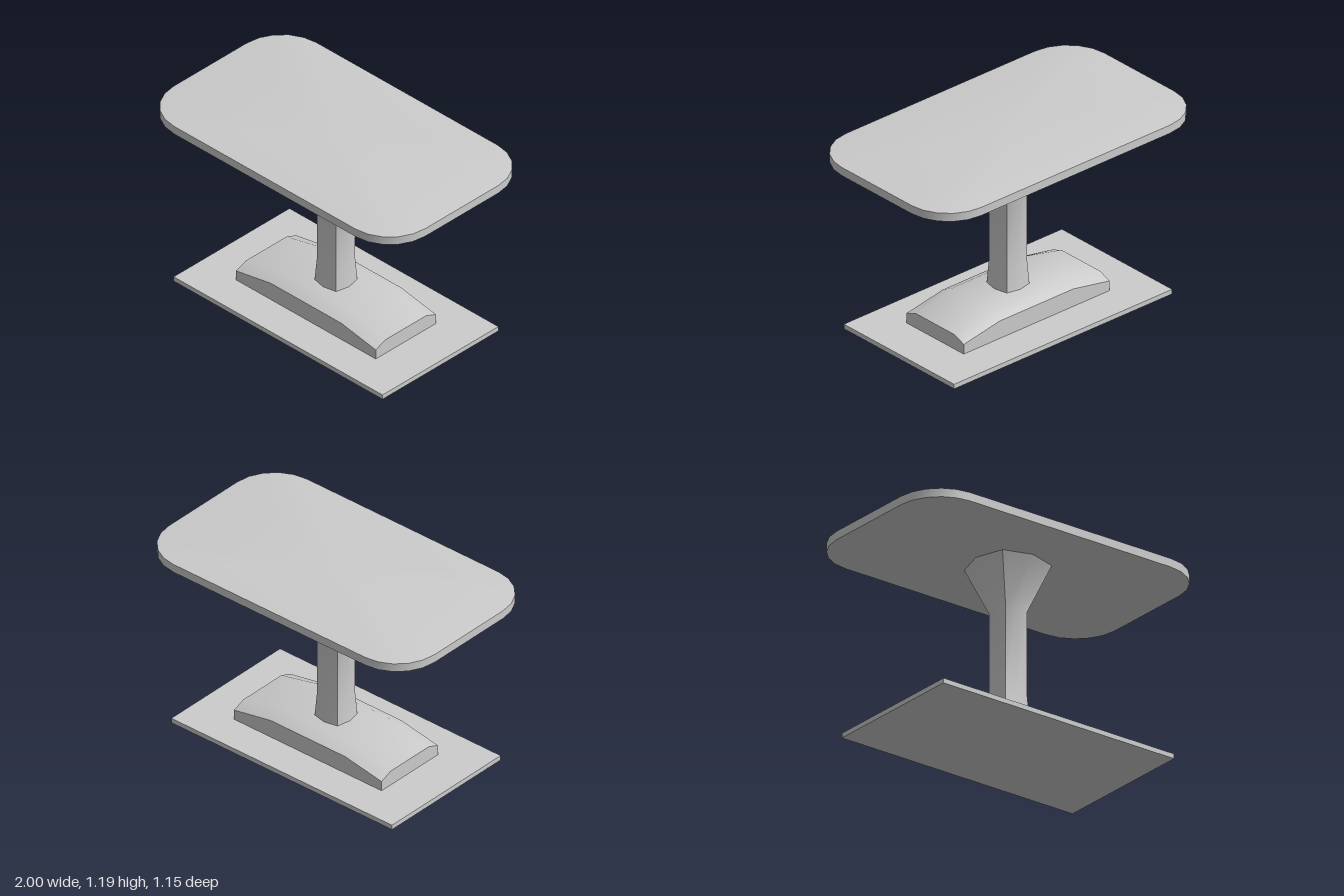
import * as THREE from 'three';
import { toCreasedNormals } from 'three/addons/utils/BufferGeometryUtils.js';

const material = new THREE.MeshStandardMaterial({ color: 0xcccccc });
const CREASE = THREE.MathUtils.degToRad(40);

function addPart(group, name, geometry) {
  const mesh = new THREE.Mesh(toCreasedNormals(geometry, CREASE), material);
  mesh.name = name;
  group.add(mesh);
  return mesh;
}

// Closed solid through stacked rings; each ring is { y, points: [[x, z], ...] }
// with points running from +x towards +z.
function loft(rings) {
  const n = rings[0].points.length;
  const positions = [];
  const index = [];
  for (const { y, points } of rings) for (const [x, z] of points) positions.push(x, y, z);
  for (let r = 0; r < rings.length - 1; r++) {
    for (let i = 0; i < n; i++) {
      const a = r * n + i, b = r * n + (i + 1) % n;
      index.push(a, a + n, b, b, a + n, b + n);
    }
  }
  const bottom = positions.length / 3, top = bottom + 1;
  const last = (rings.length - 1) * n;
  positions.push(0, rings[0].y, 0, 0, rings[rings.length - 1].y, 0);
  for (let i = 0; i < n; i++) {
    const j = (i + 1) % n;
    index.push(bottom, i, j, top, last + j, last + i);
  }
  const geometry = new THREE.BufferGeometry();
  geometry.setAttribute('position', new THREE.Float32BufferAttribute(positions, 3));
  geometry.setIndex(index);
  return geometry;
}

// Rounded rectangle outline, corners in five straight steps
function roundedOutline(halfX, halfZ, radius, steps = 5) {
  const points = [];
  [[1, 1], [-1, 1], [-1, -1], [1, -1]].forEach(([sx, sz], q) => {
    for (let i = 0; i <= steps; i++) {
      const t = (q + i / steps) * Math.PI / 2;
      points.push([
        sx * (halfX - radius) + radius * Math.cos(t),
        sz * (halfZ - radius) + radius * Math.sin(t),
      ]);
    }
  });
  return points;
}

// Square with bowed sides: corners at `corner`, side middles at `middle`
function bowedSquare(middle, corner) {
  return [
    [middle, 0], [corner, corner], [0, middle], [-corner, corner],
    [-middle, 0], [-corner, -corner], [0, -middle], [corner, -corner],
  ];
}

export function createModel() {
  const table = new THREE.Group();
  table.name = 'pedestalTable';

  // Flat plate on the floor
  addPart(table, 'floorPlate', new THREE.BoxGeometry(1.66, 0.03, 0.94)).position.y = 0.015;

  // Foot block, its top sloping down towards the ends and sides
  const foot = new THREE.BoxGeometry(3, 1, 3, 3, 1, 3);
  const p = foot.attributes.position;
  for (let i = 0; i < p.count; i++) {
    const x = p.getX(i), z = p.getZ(i);
    const endX = Math.abs(x) > 1, endZ = Math.abs(z) > 1;
    const height = endX ? (endZ ? 0.093 : 0.124) : (endZ ? 0.143 : 0.186);
    p.setXYZ(
      i,
      Math.sign(x) * (endX ? 0.555 : 0.28),
      p.getY(i) > 0 ? height : 0.03,
      Math.sign(z) * (endZ ? 0.244 : 0.165),
    );
  }
  addPart(table, 'foot', foot);

  // Column, flaring a little at the foot and widely under the top
  addPart(table, 'column', loft([
    { y: 0.184, points: bowedSquare(0.104, 0.086) },
    { y: 0.33, points: bowedSquare(0.093, 0.077) },
    { y: 0.847, points: bowedSquare(0.093, 0.077) },
    { y: 1.131, points: bowedSquare(0.233, 0.178) },
  ]));

  // Table top with rounded corners and a very shallow edge slope
  const outer = roundedOutline(1, 0.577, 0.28);
  const inner = roundedOutline(0.98, 0.557, 0.26);
  addPart(table, 'tableTop', loft([
    { y: 1.129, points: inner },
    { y: 1.131, points: outer },
    { y: 1.184, points: outer },
    { y: 1.187, points: inner },
  ]));

  return table;
}
